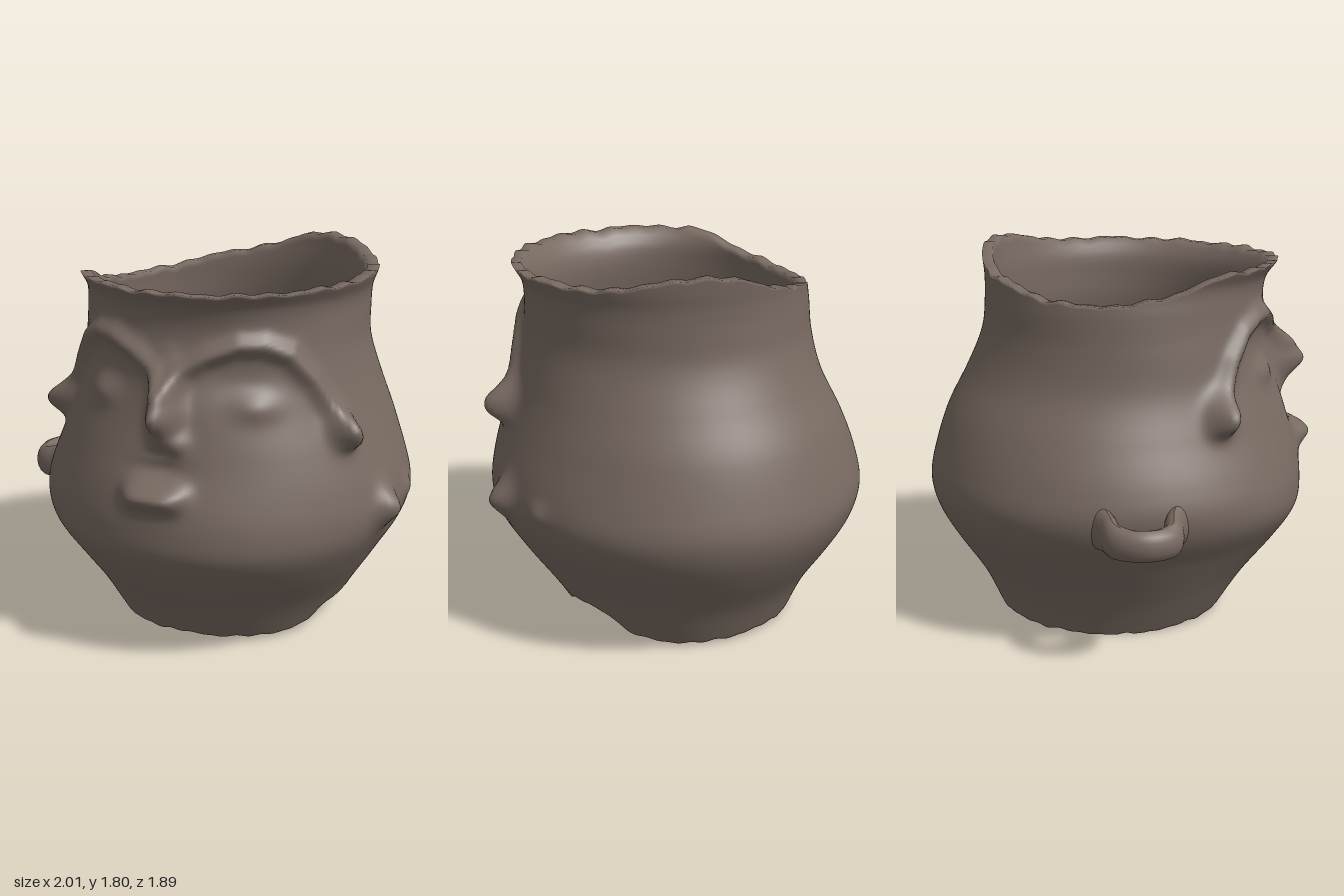
import * as THREE from 'three';

// Body outline: [height, -x side, +x side, front z, back z]
const PROFILE = [
  [0.00, -0.46, 0.60, 0.48, -0.61], [0.20, -0.56, 0.71, 0.62, -0.71],
  [0.40, -0.68, 0.84, 0.78, -0.84], [0.55, -0.78, 0.93, 0.87, -0.92],
  [0.67, -0.81, 0.96, 0.88, -0.95], [0.80, -0.78, 0.94, 0.86, -0.93],
  [1.00, -0.70, 0.88, 0.80, -0.86], [1.20, -0.62, 0.81, 0.74, -0.76],
  [1.40, -0.59, 0.76, 0.70, -0.68], [1.55, -0.58, 0.755, 0.68, -0.66],
  [1.65, -0.57, 0.76, 0.70, -0.66], [1.73, -0.59, 0.79, 0.76, -0.67],
  [1.80, -0.60, 0.80, 0.77, -0.68],
];
// Broken upper and lower edges: [degrees from the front towards +x, height]
const RIM = [[0, 1.72], [45, 1.72], [90, 1.73], [122, 1.74], [136, 1.78], [165, 1.785], [180, 1.72],
  [205, 1.66], [235, 1.60], [262, 1.60], [282, 1.64], [300, 1.71], [360, 1.72]];
const FOOT = [[0, 0.04], [50, 0.03], [64, 0.05], [72, 0.13], [90, 0.16], [102, 0.15], [112, 0.05],
  [135, 0.02], [180, 0.03], [240, 0.01], [270, 0.0], [300, 0.01], [360, 0.04]];
// Brow arch: [angle, height], mirrored on both sides of the nose
const BROW = [[0.03, 1.30], [0.10, 1.38], [0.25, 1.44], [0.45, 1.49], [0.62, 1.49],
  [0.80, 1.44], [0.95, 1.32], [1.05, 1.18], [1.10, 1.05]];
const NOSE = [[1.02, 0], [1.10, 0.07], [1.20, 0.18], [1.30, 0.10], [1.40, 0.03], [1.50, 0]];

// Smooth (Catmull-Rom style) lookup in a table
function lookup(table, t, col = 1) {
  const n = table.length;
  if (t <= table[0][0]) return table[0][col];
  if (t >= table[n - 1][0]) return table[n - 1][col];
  let k = 0;
  while (t > table[k + 1][0]) k++;
  const slope = (i) => {
    const a = table[Math.max(i - 1, 0)], b = table[Math.min(i + 1, n - 1)];
    return (b[col] - a[col]) / (b[0] - a[0]);
  };
  const [p, q] = [table[k], table[k + 1]];
  const h = q[0] - p[0], u = (t - p[0]) / h, u2 = u * u, u3 = u2 * u;
  return (2 * u3 - 3 * u2 + 1) * p[col] + (u3 - 2 * u2 + u) * h * slope(k)
    + (3 * u2 - 2 * u3) * q[col] + (u3 - u2) * h * slope(k + 1);
}

const bump = (a, y, a0, y0, wa, wy) => Math.exp(-(((a - a0) / wa) ** 2) - ((y - y0) / wy) ** 2);

// Distance from a surface point to the brow line
function browDistance(a, y) {
  let best = 9;
  for (let i = 0; i < BROW.length - 1; i++) {
    const px = BROW[i][0] * 0.72, py = BROW[i][1];
    const dx = BROW[i + 1][0] * 0.72 - px, dy = BROW[i + 1][1] - py;
    const ex = a * 0.72 - px, ey = y - py;
    const u = THREE.MathUtils.clamp((ex * dx + ey * dy) / (dx * dx + dy * dy), 0, 1);
    best = Math.min(best, Math.hypot(ex - u * dx, ey - u * dy));
  }
  return best;
}

// Modelled face and side stubs, as height above the plain wall
function relief(angle, y) {
  const a = angle > Math.PI ? angle - 2 * Math.PI : angle;
  const m = Math.abs(a);
  let d = 0.005 * Math.sin(3 * a + 5 * y) * Math.sin(7 * y + 2 * Math.sin(a));
  if (m < 1.5 && y > 0.9) {
    d += 0.045 * Math.exp(-((browDistance(m, y) / 0.045) ** 2));
    d += 0.09 * bump(m, y, 1.09, 1.10, 0.09, 0.08);      // brow ends
    d -= 0.025 * bump(m, y, 0.42, 1.33, 0.28, 0.11);     // eye sockets
    d += 0.03 * bump(m, y, 0.55, 1.23, 0.14, 0.06);      // eyelids
    d += lookup(NOSE, y) * Math.exp(-((a / 0.085) ** 2));
    d += 0.03 * bump(a, y, 0.1, 1.07, 0.06, 0.05);       // nostril
  }
  const lip = y > 0.85 ? 0.05 : 0.065;
  d += 0.09 * Math.exp(-((Math.abs(a) / 0.17) ** 4) - ((y - 0.85) / lip) ** 2);
  d -= 0.02 * bump(a, y, 0, 0.95, 0.15, 0.04);
  d += 0.08 * bump(a, y, 1.32, 0.70, 0.075, 0.085);      // broken handle stubs
  d += 0.02 * bump(a, y, 1.62, 0.71, 0.06, 0.05);
  return d;
}

function wallPoint(angle, y, inset) {
  const [xl, xr, zf, zb] = [1, 2, 3, 4].map((c) => lookup(PROFILE, y, c));
  const s = Math.sin(angle), c = Math.cos(angle);
  const out = inset > 0 ? -inset : relief(angle, y);
  return [(xl + xr) / 2 + ((xr - xl) / 2 + out) * s, y, (zf + zb) / 2 + ((zf - zb) / 2 + out) * c];
}

// Closed wall: up the outside, over the rim, down the inside
function vesselGeometry() {
  const around = 264, up = 120, down = 50, rows = up + down + 2;
  const pos = [], idx = [];
  for (let j = 0; j < rows; j++) {
    const outer = j <= up;
    const v = outer ? j / up : 1 - (j - up - 1) / down;
    for (let i = 0; i < around; i++) {
      const angle = (i / around) * Math.PI * 2, deg = (i / around) * 360;
      const chip = 0.006 * Math.sin(angle * 17) * Math.sin(angle * 5) + 0.004 * Math.sin(angle * 31);
      const y0 = Math.max(0, lookup(FOOT, deg) + chip);
      const y1 = lookup(RIM, deg) + chip;
      const inset = outer ? 0 : 0.025 + 0.025 * Math.min(1, v * 4);
      pos.push(...wallPoint(angle, y0 + (y1 - y0) * v, inset));
    }
  }
  for (let j = 0; j < rows; j++) {
    const k = (j + 1) % rows;
    for (let i = 0; i < around; i++) {
      const n = (i + 1) % around;
      const a = j * around + i, b = j * around + n, c = k * around + n, d = k * around + i;
      idx.push(a, b, c, a, c, d);
    }
  }
  const g = new THREE.BufferGeometry();
  g.setAttribute('position', new THREE.Float32BufferAttribute(pos, 3));
  g.setIndex(idx);
  g.computeVertexNormals();
  return g;
}

// Pierced lug: a flat loop, taller than it is thick and flaring into the wall
function handleGeometry() {
  const path = new THREE.CatmullRomCurve3([
    [-0.68, 0, -0.27], [-0.80, 0, -0.20], [-0.90, 0, -0.17], [-0.955, 0, -0.05],
    [-0.91, 0, 0.07], [-0.81, 0, 0.10], [-0.70, 0, 0.17],
  ].map((p) => new THREE.Vector3(...p)));
  const g = new THREE.TubeGeometry(path, 48, 0.046, 16, false);
  const p = g.attributes.position;
  for (let i = 0; i < p.count; i++) {
    const near = THREE.MathUtils.clamp((p.getX(i) + 0.93) / 0.2, 0, 1);
    p.setY(i, 0.625 + 0.03 * near + p.getY(i) * (1.55 + 0.8 * near));
  }
  g.computeVertexNormals();
  return g;
}

export function createModel() {
  const clay = new THREE.MeshStandardMaterial({ color: 0x786a61 });
  clay.name = 'brown clay';
  const model = new THREE.Group();
  model.name = 'faceJar';
  const add = (name, geometry) => {
    const mesh = new THREE.Mesh(geometry, clay);
    mesh.name = name;
    model.add(mesh);
  };
  add('vesselWall', vesselGeometry());
  add('sideHandle', handleGeometry());
  return model;
}
